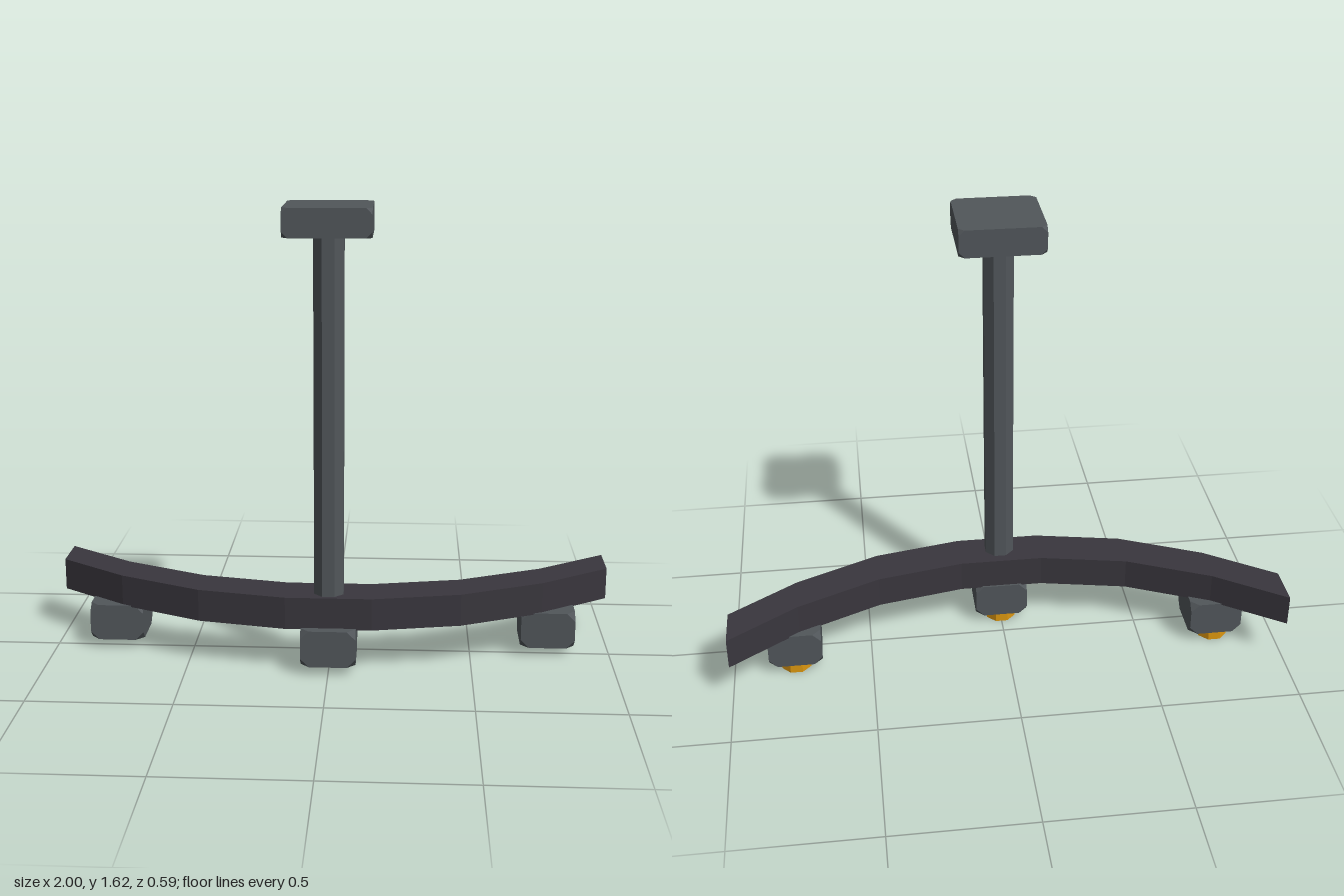
import * as THREE from 'three';
import { ConvexGeometry } from 'three/addons/geometries/ConvexGeometry.js';

const make = (name, color) =>
  Object.assign(new THREE.MeshStandardMaterial({ color, flatShading: true }), { name });

// Box with its eight corners cut off, edges left sharp
function cutCornerBox(w, h, d, cut) {
  const points = [];
  for (const sx of [-1, 1]) for (const sy of [-1, 1]) for (const sz of [-1, 1]) {
    const x = sx * w / 2, y = sy * h / 2, z = sz * d / 2;
    points.push(
      new THREE.Vector3(x - sx * cut, y, z),
      new THREE.Vector3(x, y - sy * cut, z),
      new THREE.Vector3(x, y, z - sz * cut));
  }
  return new ConvexGeometry(points);
}

// Octagonal prism with flat sides facing the axes
function octagon(apothem, height) {
  const r = apothem / Math.cos(Math.PI / 8);
  return new THREE.CylinderGeometry(r, r, height, 8).rotateY(Math.PI / 8);
}

export function createModel() {
  const group = new THREE.Group();
  const grey = make('grey metal', 0x51565a);
  const dark = make('dark bar', 0x39363d);
  const amber = make('amber bulb', 0xdb960f);

  function add(name, geometry, material, x, y, z) {
    const mesh = new THREE.Mesh(geometry, material);
    mesh.name = name;
    mesh.position.set(x, y, z);
    group.add(mesh);
  }

  // Ceiling plate and hanging rod
  add('ceilingPlate', cutCornerBox(0.292, 0.096, 0.292, 0.02), grey, 0, 1.569, 0.147);
  add('rod', octagon(0.051, 1.33), grey, 0, 0.875, 0.149);

  // Curved bar, seven straight segments, extruded upwards
  const half = [[0.15, 0.215], [0.46, 0.154], [0.755, 0.022], [1, -0.144]];
  const front = [...half.map(([x, z]) => [-x, z]).reverse(), ...half];
  const back = front.map(([x, z]) => [x, z - 0.152]).reverse();
  const outline = new THREE.Shape([...front, ...back].map(([x, z]) => new THREE.Vector2(x, -z)));
  const bar = new THREE.ExtrudeGeometry(outline, { depth: 0.115, bevelEnabled: false });
  add('curvedBar', bar.rotateX(-Math.PI / 2), dark, 0, 0.16, 0);

  // Three lamp housings with bulbs underneath
  const lamps = [['right', -0.777, -0.06], ['middle', 0, 0.152], ['left', 0.777, -0.06]];
  for (const [side, x, z] of lamps) {
    add(side + 'LampHousing', cutCornerBox(0.192, 0.132, 0.192, 0.03), grey, x, 0.099, z);
    add(side + 'Bulb', octagon(0.053, 0.06), amber, x, 0.03, z - 0.04);
  }
  return group;
}
